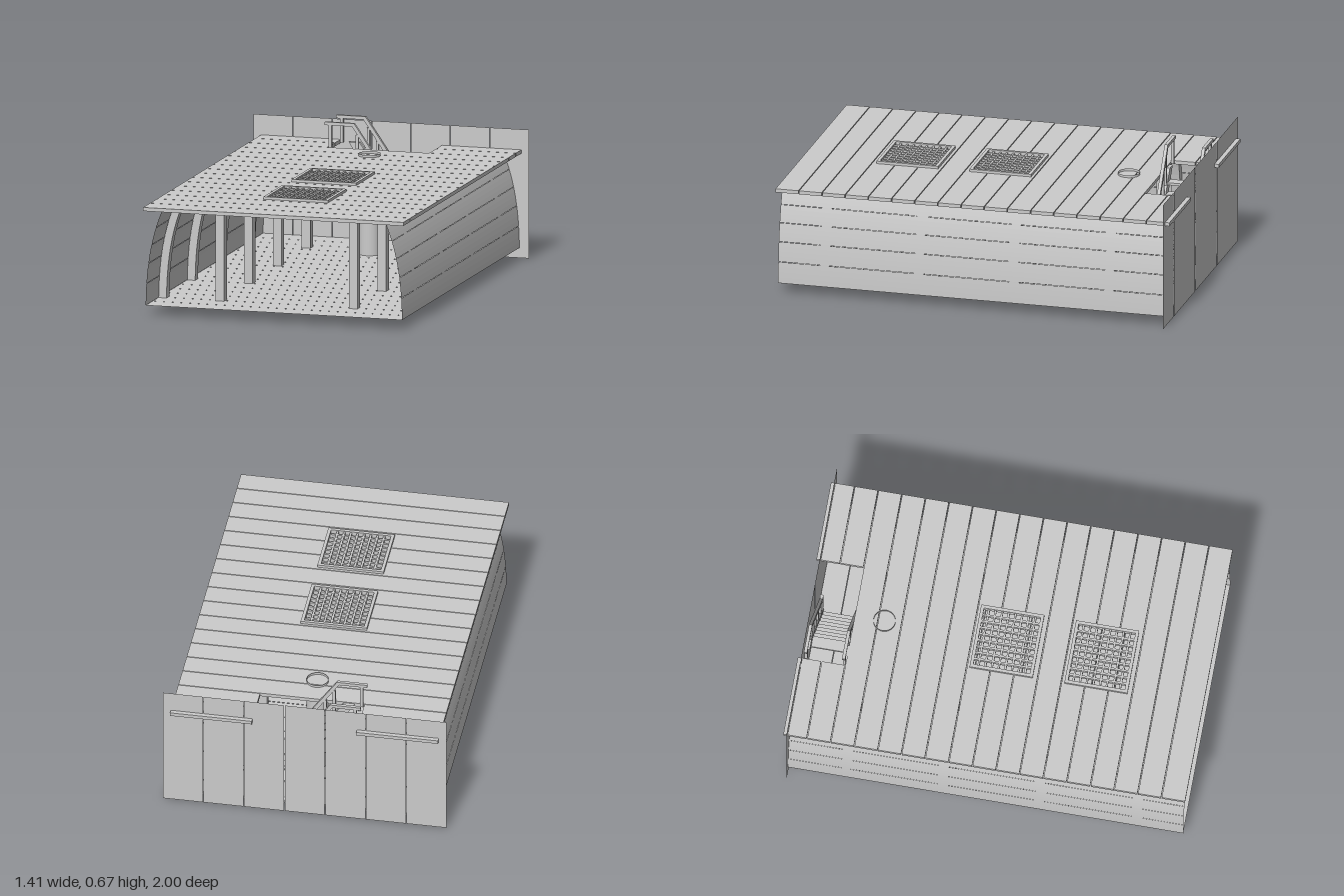
import * as THREE from 'three';

const solid = new THREE.MeshStandardMaterial({ color: 0xcccccc, flatShading: true });
const sheet = new THREE.MeshStandardMaterial({ color: 0xcccccc, flatShading: true, side: THREE.DoubleSide });

const GAP = 0.004;      // seam between planks
const BACK = -0.978;    // z of the bulkhead
const FRONT = 0.99;     // z of the open end
const HATCHES = [-0.005, 0.467];
const HATCH_HALF = 0.15;

function add(parent, name, geometry, material = solid) {
  const mesh = new THREE.Mesh(geometry, material);
  mesh.name = name;
  parent.add(mesh);
  return mesh;
}

// Box given by its lower and upper bounds
function block(parent, name, x0, x1, y0, y1, z0, z1) {
  const mesh = add(parent, name, new THREE.BoxGeometry(x1 - x0, y1 - y0, z1 - z0));
  mesh.position.set((x0 + x1) / 2, (y0 + y1) / 2, (z0 + z1) / 2);
  return mesh;
}

// Outline in x/y extruded along z, centred on the given z
function slab(parent, name, points, depth, z) {
  const shape = new THREE.Shape(points.map(([x, y]) => new THREE.Vector2(x, y)));
  const geometry = new THREE.ExtrudeGeometry(shape, { depth, bevelEnabled: false });
  geometry.translate(0, 0, z - depth / 2);
  return add(parent, name, geometry);
}

function group(parent, name) {
  const g = new THREE.Group();
  g.name = name;
  parent.add(g);
  return g;
}

// Outer hull curve in x/y, from the floor up to the deck
const hullCurve = new THREE.CubicBezierCurve(
  new THREE.Vector2(0.657, 0.05), new THREE.Vector2(0.655, 0.24),
  new THREE.Vector2(0.63, 0.39), new THREE.Vector2(0.575, 0.522));

// Cross planks, cut around the stair opening and the hatches
function buildDeck(root) {
  const deck = group(root, 'deck');
  const count = 17, pitch = 2 / count;
  const edges = HATCHES.flatMap(z => [z - HATCH_HALF, z + HATCH_HALF]);
  for (let i = 0; i < count; i++) {
    const z0 = -1 + i * pitch + (i ? GAP / 2 : 0);
    const z1 = -1 + (i + 1) * pitch - (i < count - 1 ? GAP / 2 : 0);
    const cuts = [z0, ...edges.filter(z => z > z0 && z < z1), z1];
    for (let k = 0; k + 1 < cuts.length; k++) {
      const mid = (cuts[k] + cuts[k + 1]) / 2;
      const inHatch = HATCHES.some(z => Math.abs(mid - z) < HATCH_HALF);
      const hole = i < 2 ? 0.26 : inHatch ? HATCH_HALF : 0;
      if (hole) {
        block(deck, 'deckPlank', -0.667, -hole, 0.522, 0.54, cuts[k], cuts[k + 1]);
        block(deck, 'deckPlank', hole, 0.667, 0.522, 0.54, cuts[k], cuts[k + 1]);
      } else {
        block(deck, 'deckPlank', -0.667, 0.667, 0.522, 0.54, cuts[k], cuts[k + 1]);
      }
    }
  }
}

// Square frame with crossing bars
function buildGrating(root, z) {
  const g = group(root, 'hatchGrating');
  const outer = 0.165, inner = 0.149, cells = 9;
  for (const s of [-1, 1]) {
    const a = Math.min(s * outer, s * inner), b = Math.max(s * outer, s * inner);
    block(g, 'gratingFrame', a, b, 0.53, 0.553, -outer + 0.008, outer - 0.008);
    block(g, 'gratingFrame', -inner, inner, 0.53, 0.553, a + s * -0.008, b + s * -0.008);
  }
  for (let i = 1; i < cells; i++) {
    const p = -inner + (2 * inner * i) / cells;
    block(g, 'gratingBar', p - 0.005, p + 0.005, 0.528, 0.548, -0.145, 0.145);
    block(g, 'gratingBar', -inner, inner, 0.528, 0.546, p - 0.005, p + 0.005);
  }
  g.position.z = z;
}

// Curved side planking, floor planking and the upright bulkhead planks
function buildShell(root) {
  const sides = group(root, 'hullSides');
  const strakes = 5;
  for (const side of [-1, 1]) {
    for (let i = 0; i < strakes; i++) {
      const pos = [], index = [], steps = 4;
      for (let j = 0; j <= steps; j++) {
        const t = (i + 0.004 + (j / steps) * 0.982) / strakes;
        const p = hullCurve.getPoint(t);
        pos.push(side * p.x, p.y, BACK, side * p.x, p.y, FRONT);
        if (j < steps) {
          const a = 2 * j;
          index.push(...(side > 0 ? [a, a + 2, a + 1, a + 1, a + 2, a + 3] : [a, a + 1, a + 2, a + 1, a + 3, a + 2]));
        }
      }
      const geometry = new THREE.BufferGeometry();
      geometry.setAttribute('position', new THREE.Float32BufferAttribute(pos, 3));
      geometry.setIndex(index);
      geometry.computeVertexNormals();
      add(sides, 'hullStrake', geometry, sheet);
    }
  }

  const floor = group(root, 'floor');
  const n = 17, pitch = (FRONT - BACK) / n;
  for (let i = 0; i < n; i++) {
    const geometry = new THREE.PlaneGeometry(1.314, pitch - GAP / 2).rotateX(-Math.PI / 2);
    add(floor, 'floorPlank', geometry, sheet).position.set(0, 0.05, BACK + (i + 0.5) * pitch);
  }

  const bulkhead = group(root, 'bulkhead');
  const width = 1.414 / 7;
  for (let i = -3; i <= 3; i++) {
    const plank = add(bulkhead, 'bulkheadPlank', new THREE.PlaneGeometry(width - 0.003, 0.642), sheet);
    plank.position.set(i * width, 0.321, BACK);
  }
}

// Frame: curved rib each side, two posts and a cross beam
function buildFrame(root, z) {
  const frame = group(root, 'hullFrame');
  const depth = 0.046;
  const curve = hullCurve.getPoints(10).map(p => [p.x - 0.002, p.y]);
  for (const s of [-1, 1]) {
    const outline = [...curve, ...curve.slice().reverse().map(([x, y]) => [x - 0.04, y])];
    slab(frame, 'rib', outline.map(([x, y]) => [s * x, y]), depth, z);
    block(frame, 'post', s * 0.342 - 0.022, s * 0.342 + 0.022, 0.048, 0.51, z - depth / 2, z + depth / 2);
  }
  block(frame, 'deckBeam', -0.545, 0.545, 0.506, 0.523, z - depth / 2, z + depth / 2);
}

// Steep stair with a handrail on both sides
function buildStair(root) {
  const stair = group(root, 'stair');
  const railY = x => 0.24 + (0.168 - x) * 1.42;      // top edge of sloping rail
  const stringY = x => 0.045 + (0.19 - x) * 1.42;    // top edge of stringer
  for (const z of [-0.77, -0.96]) {
    slab(stair, 'stringer', [[-0.21, 0.535], [0.155, 0], [0.19, 0.03], [0.175, 0.05], [0.187, 0.05], [-0.155, 0.535]], 0.02, z);
    slab(stair, 'handrail', [[-0.275, 0.65], [-0.135, 0.65], [0.168, 0.2], [0.168, 0.045], [0.19, 0.045],
      [0.19, 0.24], [0.168, 0.24], [-0.125, 0.666], [-0.275, 0.666]], 0.016, z);
    block(stair, 'railPost', -0.255, -0.24, 0.53, 0.652, z - 0.007, z + 0.007);
    for (const x of [-0.11, -0.065, 0.0, 0.065, 0.14]) {
      block(stair, 'baluster', x - 0.007, x + 0.007, stringY(x) - 0.02, railY(x) - 0.025, z - 0.006, z + 0.006);
    }
  }
  for (let i = 0; i < 9; i++) {
    const y = 0.06 + i * 0.051;
    const x = 0.14 - (y - 0.06) / 1.45;
    block(stair, 'tread', x - 0.028, x + 0.028, y - 0.006, y + 0.006, -0.952, -0.778);
  }
}

export function createModel() {
  const root = new THREE.Group();
  root.name = 'shipHoldSection';
  buildShell(root);
  buildDeck(root);
  HATCHES.forEach(z => buildGrating(root, z));
  [-0.69, -0.205, 0.275, 0.755].forEach(z => buildFrame(root, z));
  buildStair(root);

  // Hollow mast sleeve through deck and floor
  const mastMaterial = new THREE.MeshStandardMaterial({ color: 0xcccccc, side: THREE.DoubleSide });
  add(root, 'mast', new THREE.CylinderGeometry(0.054, 0.054, 0.552, 32, 1, true), mastMaterial)
    .position.set(0, 0.276, -0.615);
  return root;
}
